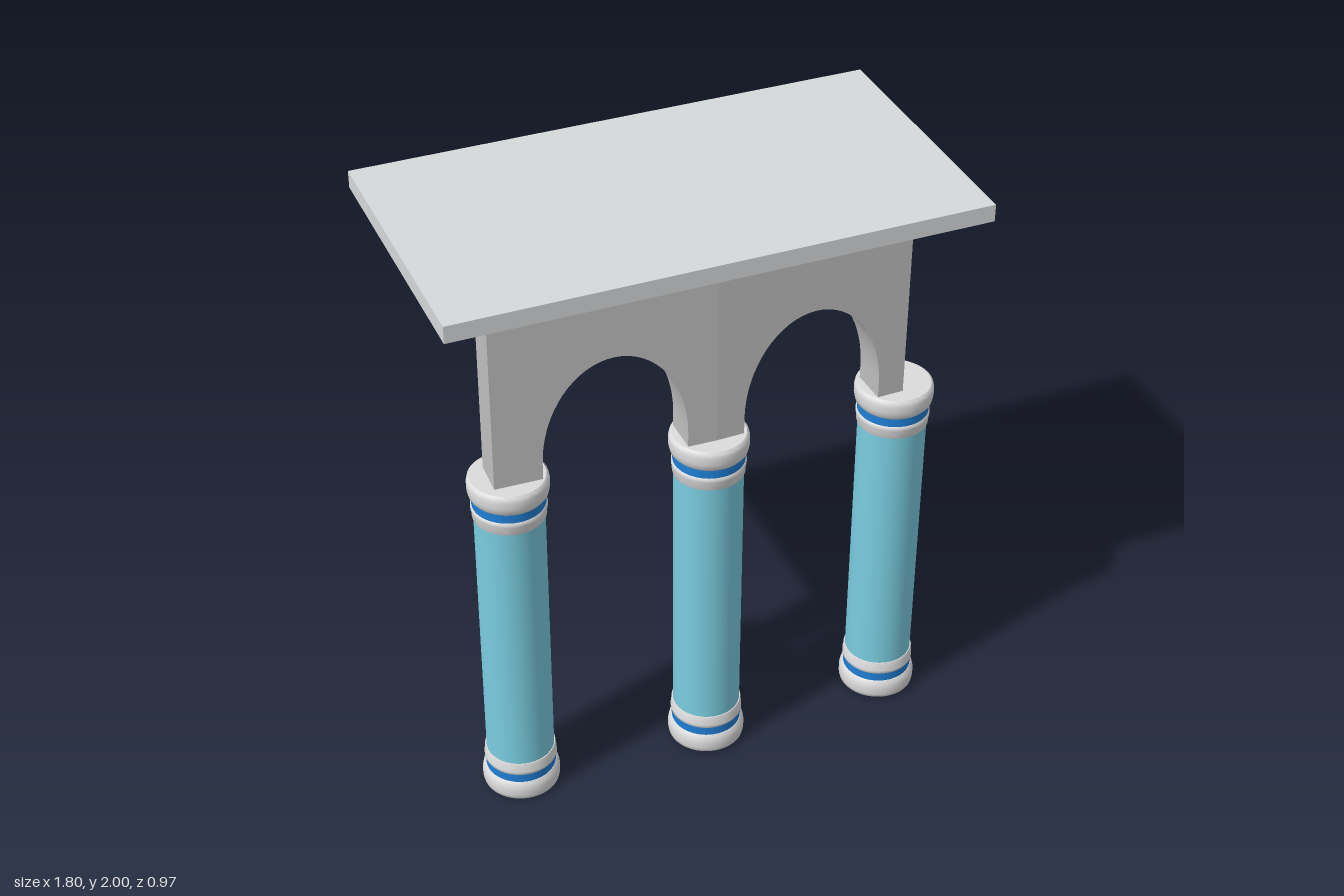
import * as THREE from 'three';
import { toCreasedNormals } from 'three/addons/utils/BufferGeometryUtils.js';

function material(name, color) {
  const m = new THREE.MeshStandardMaterial({ color });
  m.name = name;
  return m;
}

const COLUMN_X = 0.675;
const CAP_Y = 1.29;     // top of the columns
const SLAB_Y = 1.94;    // underside of the slab
const WALL_FRONT = 0.404;
const WALL_DEPTH = 0.127;
const BEND = 0.032;     // the wall bends back to both sides of the middle

export function createModel() {
  const model = new THREE.Group();
  model.name = 'arcade';
  const slabGrey = material('slab grey', 0xd6d9da);
  const wallGrey = material('wall grey', 0xc0c0c0);
  const trimGrey = material('trim grey', 0xdcdcdc);
  const shaftBlue = material('shaft light blue', 0x7acde0);
  const bandBlue = material('band blue', 0x1f7fd6);

  function add(parent, name, geometry, mat) {
    const mesh = new THREE.Mesh(geometry, mat);
    mesh.name = name;
    parent.add(mesh);
    return mesh;
  }

  function lathe(points) {
    const pts = points.map(([r, y]) => new THREE.Vector2(r, y));
    return toCreasedNormals(new THREE.LatheGeometry(pts, 48), 0.7);
  }

  // Roof slab
  add(model, 'roofSlab', new THREE.BoxGeometry(1.804, 0.06, 0.966), slabGrey).position.y = 1.97;

  // Column parts: rounded foot, blue band, flared ring, shaft
  const foot = lathe([[0, 0], [0.122, 0], [0.129, 0.006], [0.132, 0.02], [0.132, 0.045],
    [0.128, 0.064], [0.12, 0.074], [0, 0.074]]);
  const band = lathe([[0.119, 0.074], [0.119, 0.106]]);
  const ring = lathe([[0.119, 0.106], [0.123, 0.111], [0.123, 0.122], [0.12, 0.13],
    [0.12, 0.15], [0.118, 0.154], [0.11, 0.154]]);
  const shaft = lathe([[0.115, 0.15], [0.115, CAP_Y - 0.15]]);

  function columnEnd(name) {
    const end = new THREE.Group();
    end.name = name;
    add(end, 'collar', foot, trimGrey);
    add(end, 'band', band, bandBlue);
    add(end, 'ring', ring, trimGrey);
    return end;
  }

  for (const [name, x] of [['leftColumn', COLUMN_X], ['middleColumn', 0], ['rightColumn', -COLUMN_X]]) {
    const column = new THREE.Group();
    column.name = name;
    column.position.set(x, 0, x === 0 ? 0.343 : 0.317);
    add(column, 'shaft', shaft, shaftBlue);
    const capital = columnEnd('capital');
    capital.rotation.x = Math.PI;
    capital.position.y = CAP_Y;
    column.add(columnEnd('base'), capital);
    model.add(column);
  }

  // One half of the arched wall, from the middle out to the given end
  function wallHalf(side, end) {
    const inner = 0.097, outer = 0.581, spring = 1.345, top = 1.692;
    const mid = (inner + outer) / 2, half = (outer - inner) / 2;
    const pts = [[0, SLAB_Y], [0, CAP_Y], [inner, CAP_Y]];
    for (let i = 0; i <= 32; i++) {
      const a = Math.PI * (1 - i / 32);
      pts.push([mid + half * Math.cos(a), spring + (top - spring) * Math.sin(a)]);
    }
    pts.push([outer, CAP_Y], [end, CAP_Y], [end, SLAB_Y]);
    const shape = new THREE.Shape(pts.map(([x, y]) => new THREE.Vector2(side * x, y)));
    const geo = new THREE.ExtrudeGeometry(shape, { depth: WALL_DEPTH, bevelEnabled: false });
    // Swing the half backwards, narrowing it a little towards the back
    const p = geo.attributes.position;
    for (let i = 0; i < p.count; i++) {
      const x = p.getX(i), back = WALL_DEPTH - p.getZ(i);
      p.setX(i, x * (1 - 0.06 * back));
      p.setZ(i, WALL_FRONT - back - BEND * Math.abs(x));
    }
    return toCreasedNormals(geo, 0.5);
  }
  add(model, 'leftArch', wallHalf(1, 0.673), wallGrey);
  add(model, 'rightArch', wallHalf(-1, 0.741), wallGrey);

  return model;
}
